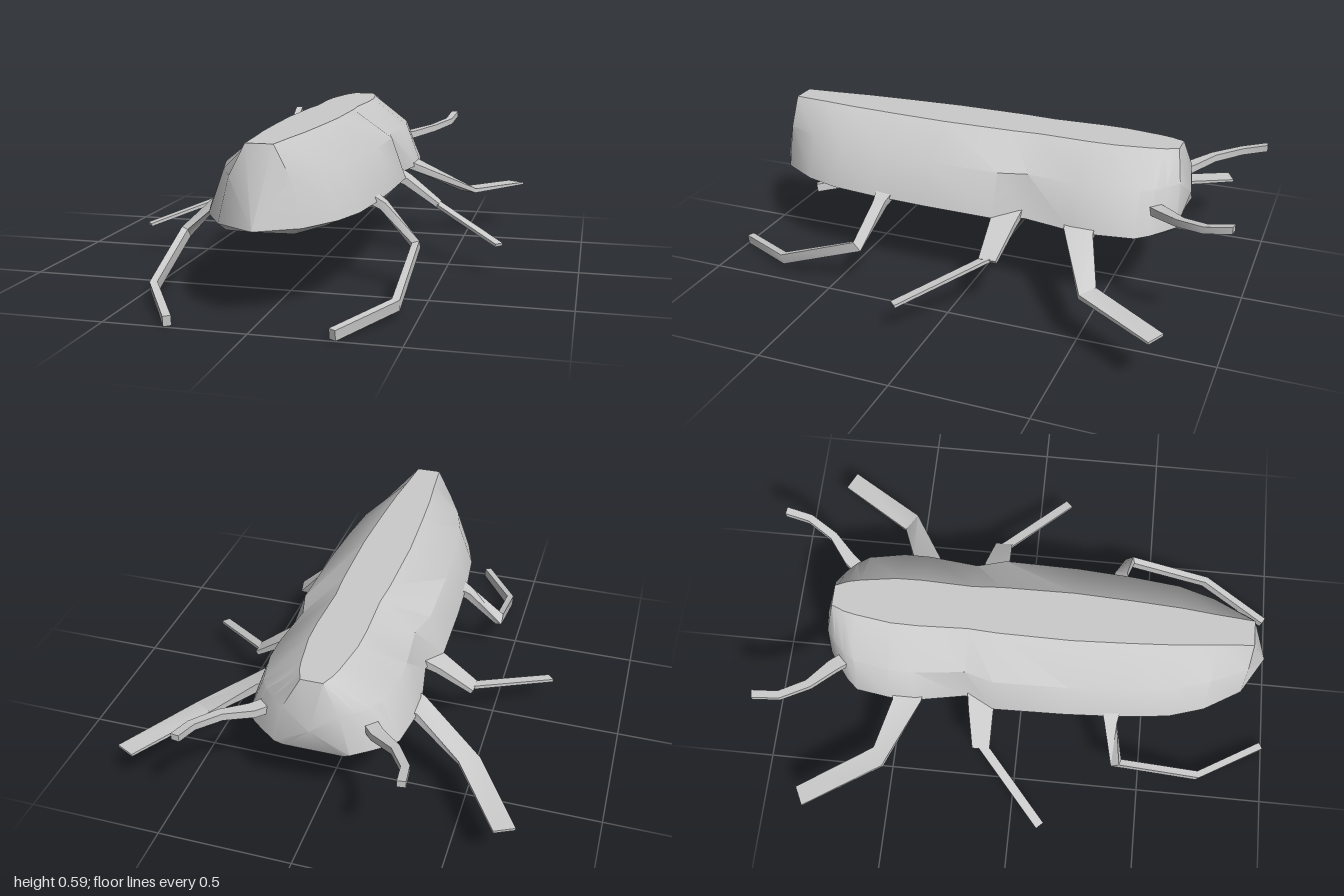
import * as THREE from 'three';
import { toCreasedNormals } from 'three/addons/utils/BufferGeometryUtils.js';

const V = (x, y, z) => new THREE.Vector3(x, y, z);

// Skins closed rings (counter-clockwise about the path) and fans both ends to an apex
function loft(rings, startApex, endApex) {
  const n = rings[0].length, last = rings.length - 1, pos = [];
  const tri = (...pts) => pts.forEach((p) => pos.push(p.x, p.y, p.z));
  for (let j = 0; j < n; j++) {
    const k = (j + 1) % n;
    for (let i = 0; i < last; i++) {
      const [a, b, c, d] = [rings[i][j], rings[i][k], rings[i + 1][k], rings[i + 1][j]];
      tri(a, b, c);
      tri(a, c, d);
    }
    tri(startApex, rings[0][k], rings[0][j]);
    tri(endApex, rings[last][j], rings[last][k]);
  }
  const g = new THREE.BufferGeometry();
  g.setAttribute('position', new THREE.Float32BufferAttribute(pos, 3));
  return toCreasedNormals(g, 0.6);
}

// Flat-sided limb: each node is [x, y, z, half-width vector x, y, z, half-thickness]
function limb(nodes, side) {
  const centers = nodes.map((n) => V(n[0] * side, n[1], n[2]));
  const rings = nodes.map((n, i) => {
    const c = centers[i], h = V(n[3] * side, n[4], n[5]);
    const before = centers[Math.max(i - 1, 0)], after = centers[Math.min(i + 1, nodes.length - 1)];
    const t = V(0, 0, 0);
    if (i > 0) t.add(c.clone().sub(before).normalize());
    if (i < nodes.length - 1) t.add(after.clone().sub(c).normalize());
    const nrm = t.cross(h).normalize().multiplyScalar(n[6]);
    return [[1, 1], [-1, 1], [-1, -1], [1, -1]].map(([a, b]) =>
      c.clone().addScaledVector(h, a).addScaledVector(nrm, b));
  });
  return loft(rings, centers[0], centers[centers.length - 1]);
}

// Body: [z, half-width of flat back, of shoulder, of lower rim]
function bodyGeometry() {
  const stations = [
    [-0.715, 0.045, 0.15, 0.195],
    [-0.68, 0.06, 0.185, 0.24],
    [-0.635, 0.07, 0.215, 0.28],
    [-0.5, 0.09, 0.24, 0.30],
    [-0.4, 0.092, 0.24, 0.30],
    [-0.21, 0.085, 0.22, 0.265],
    [-0.1, 0.092, 0.25, 0.308],
    [0.18, 0.095, 0.245, 0.302],
    [0.4, 0.085, 0.23, 0.29],
    [0.58, 0.074, 0.21, 0.27],
    [0.715, 0.06, 0.17, 0.228],
    [0.855, 0.048, 0.105, 0.145],
  ];
  const ring = (t, m, w, zt, zm, zw, zb) => [
    V(w, 0.32, zw), V(m, 0.48, zm), V(t, 0.59, zt), V(-t, 0.59, zt),
    V(-m, 0.48, zm), V(-w, 0.32, zw), V(-w * 0.8, 0.30, zb), V(w * 0.8, 0.30, zb),
  ];
  const rings = stations.map(([z, t, m, w]) => ring(t, m, w, z, z, z, z));
  // Rounded face of the head
  rings.unshift(ring(0.04, 0.1, 0.137, -0.728, -0.752, -0.757, -0.745));
  return loft(rings, V(0, 0.41, -0.777), V(0, 0.32, 0.945));
}

const LIMBS = {
  antenna: [
    [0.18, 0.405, -0.67, 0, 0.016, 0, 0.025],
    [0.225, 0.41, -0.725, 0, 0.015, 0, 0.024],
    [0.31, 0.43, -0.80, 0, 0.014, 0, 0.016],
    [0.37, 0.45, -0.90, 0, 0.013, 0, 0.015],
    [0.383, 0.473, -0.995, 0, 0.013, 0, 0.015],
  ],
  frontLeg: [
    [0.23, 0.345, -0.43, 0, 0, 0.065, 0.018],
    [0.30, 0.315, -0.435, 0, 0, 0.055, 0.015],
    [0.51, 0.20, -0.534, 0.035, 0, 0.021, 0.009],
    [0.693, 0.188, -0.822, 0.035, 0, 0.017, 0.005],
  ],
  middleLegThigh: [
    [0.23, 0.345, -0.145, 0, 0, 0.06, 0.018],
    [0.31, 0.305, -0.145, 0, 0, 0.048, 0.014],
    [0.44, 0.213, -0.135, 0, 0, 0.034, 0.009],
  ],
  middleLegShin: [
    [0.415, 0.222, -0.145, 0.012, 0, -0.013, 0.007],
    [0.705, 0.122, 0.122, 0.012, 0, -0.013, 0.006],
  ],
  rearLeg: [
    [0.23, 0.35, 0.355, 0, 0, 0.045, 0.02],
    [0.31, 0.305, 0.36, 0, 0, 0.024, 0.015],
    [0.437, 0.172, 0.40, 0, 0.016, 0.015, 0.014],
    [0.428, 0.052, 0.735, 0, 0.019, 0.005, 0.014],
    [0.275, 0.02, 0.992, 0, 0.018, 0.002, 0.014],
  ],
};

export function createModel() {
  const model = new THREE.Group();
  model.name = 'beetle';
  const material = new THREE.MeshStandardMaterial({ color: 0xcccccc });
  const add = (name, geometry) => {
    const mesh = new THREE.Mesh(geometry, material);
    mesh.name = name;
    model.add(mesh);
  };
  add('body', bodyGeometry());
  for (const [name, nodes] of Object.entries(LIMBS)) {
    add(name + 'Left', limb(nodes, 1));
    add(name + 'Right', limb(nodes, -1));
  }
  return model;
}
